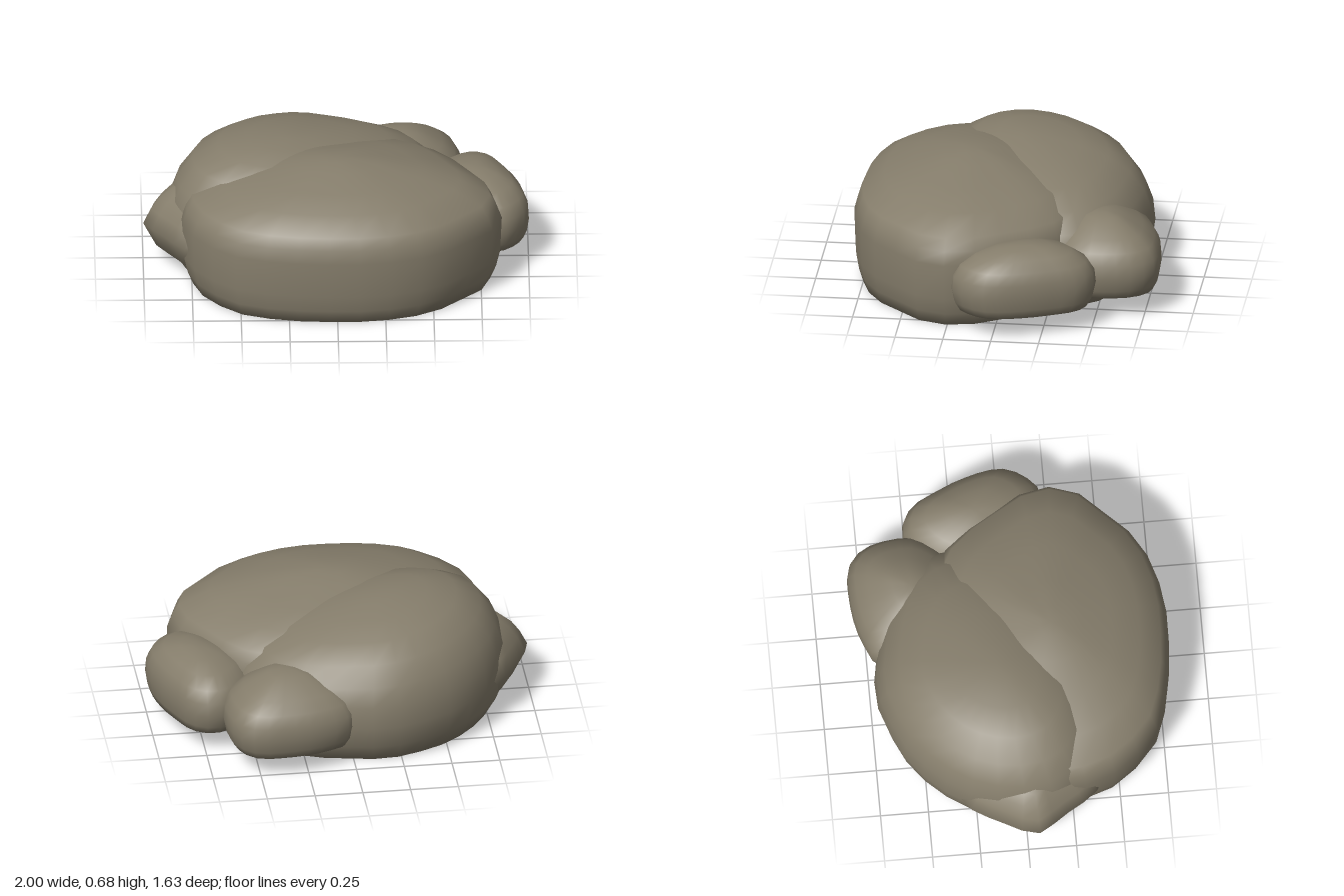
import * as THREE from 'three';

const stone = new THREE.MeshStandardMaterial({ color: 0x857d6b });
stone.name = 'weatheredStone';

// Lofts a rounded stone from a plan outline [x, z] and levels [y, scale about the centre].
// tilt leans the upper surface: [rise per x, rise per z].
function makeRock(name, centre, outline, levels, tilt = [0, 0], sides = 28) {
  const [cx, cz] = centre;
  const curve = new THREE.CatmullRomCurve3(
    outline.map(([x, z]) => new THREE.Vector3(x, 0, z)), true, 'centripetal');
  const ring = curve.getSpacedPoints(sides).slice(0, sides);
  const bottom = levels[0][0];
  const height = levels[levels.length - 1][0] - bottom;
  const positions = [];
  const index = [];
  const put = (x, y, z) => {
    const lean = ((y - bottom) / height) ** 2;
    positions.push(x, y + lean * (tilt[0] * (x - cx) + tilt[1] * (z - cz)), z);
  };
  for (const [y, s] of levels) {
    for (const p of ring) put(cx + (p.x - cx) * s, y, cz + (p.z - cz) * s);
  }
  // Side bands
  for (let l = 0; l < levels.length - 1; l++) {
    for (let i = 0; i < sides; i++) {
      const j = (i + 1) % sides;
      const a = l * sides + i, b = l * sides + j;
      index.push(a, b, b + sides, a, b + sides, a + sides);
    }
  }
  // Flat underside and closed crown
  const low = levels.length * sides;
  put(cx, bottom, cz);
  put(cx, bottom + height, cz);
  const last = (levels.length - 1) * sides;
  for (let i = 0; i < sides; i++) {
    const j = (i + 1) % sides;
    index.push(low, j, i, low + 1, last + i, last + j);
  }
  const geometry = new THREE.BufferGeometry();
  geometry.setAttribute('position', new THREE.Float32BufferAttribute(positions, 3));
  geometry.setIndex(index);
  geometry.computeVertexNormals();
  const mesh = new THREE.Mesh(geometry, stone);
  mesh.name = name;
  return mesh;
}

export function createModel() {
  const group = new THREE.Group();
  group.name = 'rockCluster';

  // Broad boulder across the front, cut back diagonally behind the side pebble
  group.add(makeRock('frontBoulder', [0, 0.2],
    [[-0.81, 0.15], [-0.77, 0.42], [-0.67, 0.58], [-0.53, 0.71], [-0.3, 0.785], [-0.08, 0.81],
      [0.16, 0.81], [0.39, 0.76], [0.55, 0.68], [0.7, 0.53], [0.83, 0.38], [0.855, 0.18],
      [0.75, -0.03], [0.63, -0.22], [0.46, -0.37], [0, -0.4], [-0.4, -0.33], [-0.7, -0.12]],
    [[0, 0.93], [0.07, 0.965], [0.16, 0.99], [0.35, 1], [0.42, 0.97], [0.48, 0.93],
      [0.56, 0.75], [0.61, 0.52], [0.655, 0.27], [0.672, 0.1]]));

  // Taller boulder behind it, rising toward -x
  group.add(makeRock('backBoulder', [-0.2, -0.1],
    [[-0.88, 0], [-0.82, 0.25], [-0.65, 0.39], [-0.35, 0.44], [0, 0.35], [0.35, 0.15],
      [0.58, -0.2], [0.53, -0.48], [0.3, -0.64], [0, -0.71], [-0.17, -0.73], [-0.38, -0.67],
      [-0.58, -0.56], [-0.8, -0.3]],
    [[0, 0.88], [0.1, 0.97], [0.22, 1], [0.34, 0.98], [0.44, 0.92], [0.54, 0.8],
      [0.61, 0.61], [0.65, 0.38], [0.668, 0.15]], [-0.09, 0.03]));

  // Pointed stone on the -x end
  group.add(makeRock('pointedSideRock', [-0.6, 0.03],
    [[-1, 0.06], [-0.92, 0.18], [-0.82, 0.34], [-0.74, 0.41], [-0.5, 0.38], [-0.35, 0],
      [-0.5, -0.38], [-0.8, -0.32], [-0.92, -0.14]],
    [[0, 0.52], [0.1, 0.83], [0.23, 1], [0.31, 0.9], [0.37, 0.79], [0.42, 0.64], [0.46, 0.45],
      [0.48, 0.2]], [0, 0], 24));

  // Two raised pebbles on the +x and rear sides
  const foot = [[0.115, 0.89], [0.16, 0.96], [0.23, 1], [0.3, 0.98], [0.36, 0.88]];
  group.add(makeRock('sidePebble', [0.74, -0.14],
    [[0.48, -0.32], [0.5, -0.08], [0.62, 0.1], [0.74, 0.21], [0.86, 0.225], [0.95, 0.15],
      [1, 0.05], [1, -0.04], [0.95, -0.22], [0.9, -0.33], [0.85, -0.43], [0.79, -0.49],
      [0.71, -0.515], [0.62, -0.49]],
    [...foot, [0.41, 0.67], [0.44, 0.38], [0.45, 0.15]]));
  group.add(makeRock('rearPebble', [0.33, -0.5],
    [[-0.02, -0.6], [0.03, -0.38], [0.22, -0.22], [0.5, -0.25], [0.65, -0.42], [0.665, -0.55],
      [0.62, -0.73], [0.53, -0.81], [0.4, -0.82], [0.22, -0.8], [0.1, -0.76], [0.01, -0.71]],
    [...foot, [0.41, 0.69], [0.45, 0.48], [0.48, 0.3], [0.49, 0.12]]));

  return group;
}
